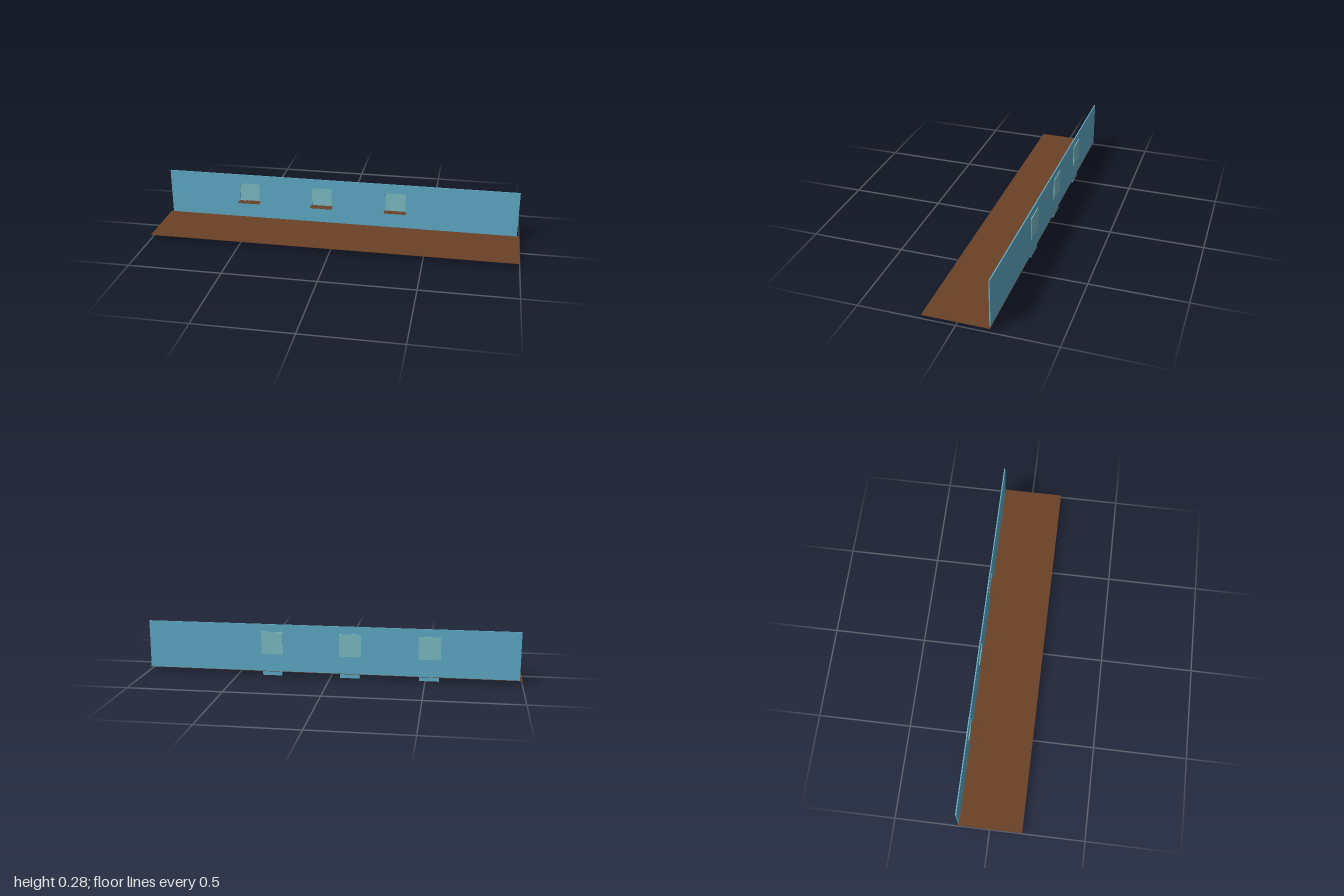
import * as THREE from 'three';

const blue = new THREE.MeshStandardMaterial({ color: 0x62b0cb });
const brown = new THREE.MeshStandardMaterial({ color: 0x6b4226 });
const glass = new THREE.MeshStandardMaterial({ color: 0x7fc1ca });

// Box given by its min and max corners
function box(name, material, [x0, y0, z0], [x1, y1, z1]) {
  const mesh = new THREE.Mesh(new THREE.BoxGeometry(x1 - x0, y1 - y0, z1 - z0), material);
  mesh.position.set((x0 + x1) / 2, (y0 + y1) / 2, (z0 + z1) / 2);
  mesh.name = name;
  return mesh;
}

function rectangle(path, x0, y0, x1, y1) {
  return path.moveTo(x0, y0).lineTo(x1, y0).lineTo(x1, y1).lineTo(x0, y1).closePath();
}

export function createModel() {
  const model = new THREE.Group();
  model.name = 'windowWall';
  const windows = [-0.521, -0.104, 0.313];
  const back = -0.167, front = -0.161;

  // Thin ground plate
  model.add(box('floor', brown, [-1, 0.021, -0.168], [1, 0.023, 0.171]));

  // Wall with window openings
  const outline = rectangle(new THREE.Shape(), -0.987, 0.022, 0.987, 0.279);
  for (const x of windows) {
    outline.holes.push(rectangle(new THREE.Path(), x - 0.056, 0.123, x + 0.056, 0.227));
  }
  const wallGeometry = new THREE.ExtrudeGeometry(outline, { depth: front - back, bevelEnabled: false });
  const wall = new THREE.Mesh(wallGeometry, blue);
  wall.position.z = back;
  wall.name = 'wall';
  model.add(wall);

  // Pane behind each opening, sill in front, locating tab under the wall
  for (const x of windows) {
    model.add(box('windowPane', glass, [x - 0.058, 0.117, -0.171], [x + 0.058, 0.238, back]));
    model.add(box('windowSill', brown, [x - 0.061, 0.121, -0.165], [x + 0.061, 0.123, -0.122]));
    model.add(box('tab', blue, [x - 0.052, 0, back], [x + 0.052, 0.022, front]));
  }
  return model;
}
